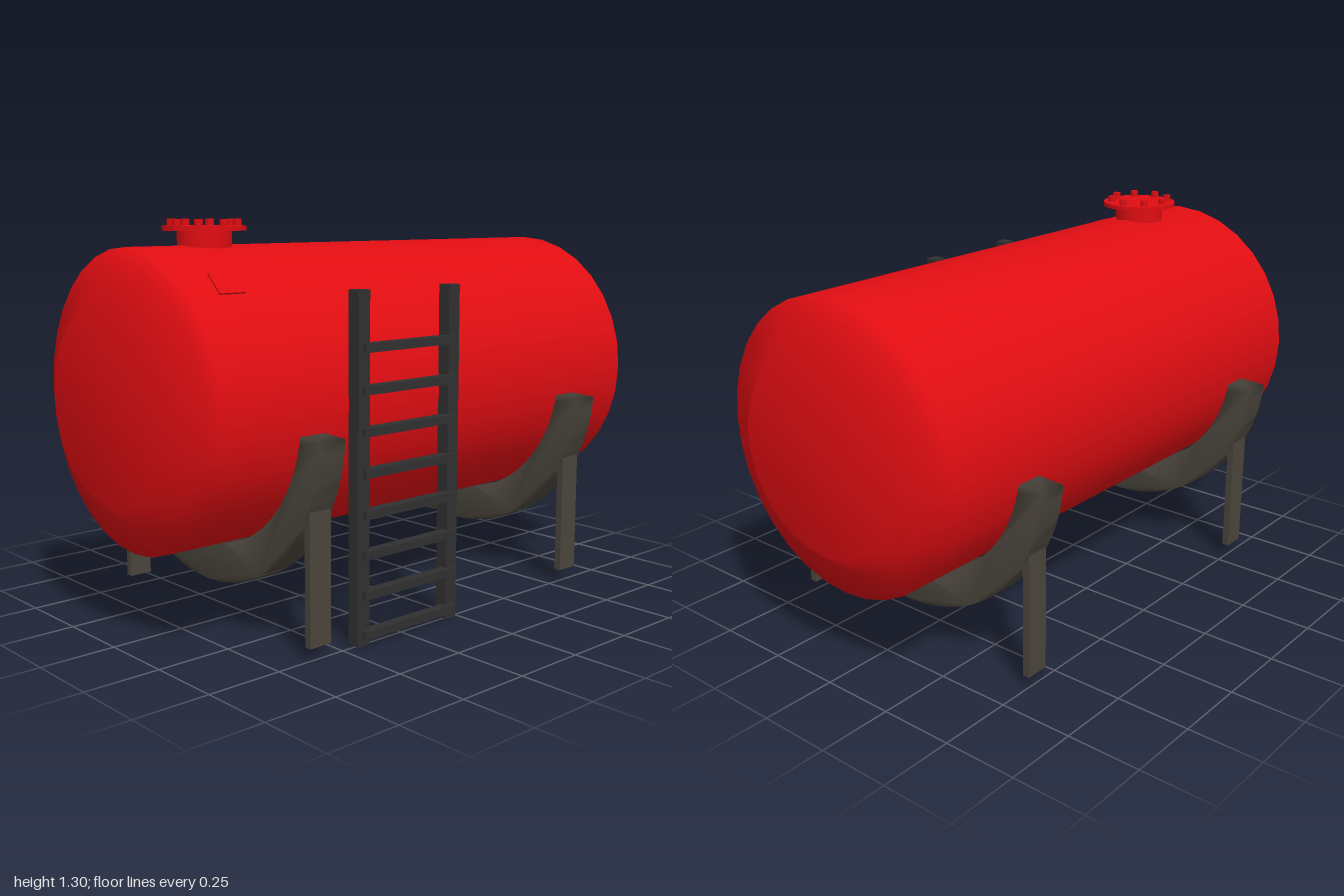
import * as THREE from 'three';
import { mergeVertices } from 'three/addons/utils/BufferGeometryUtils.js';

const RED = new THREE.MeshStandardMaterial({ color: 0xe00d12 });
const FRAME = new THREE.MeshStandardMaterial({ color: 0x4a453c });
const DARK = new THREE.MeshStandardMaterial({ color: 0x303030 });

const TANK_Y = 0.752;
const SADDLE_Z = 0.593;

function add(parent, name, geometry, material, x = 0, y = 0, z = 0) {
  const mesh = new THREE.Mesh(geometry, material);
  mesh.name = name;
  mesh.position.set(x, y, z);
  parent.add(mesh);
  return mesh;
}

// Crescent cradle: outer arc around y = 0.711, inner arc concentric with the tank
function saddleGeometry(depth) {
  const outerY = 0.711, outerR = 0.566, innerR = 0.478;
  const a = Math.asin((0.675 - outerY) / outerR);
  const b = Math.asin((0.68 - TANK_Y) / innerR);
  const shape = new THREE.Shape();
  shape.absarc(0, outerY, outerR, Math.PI - a, Math.PI * 2 + a, false);
  shape.absarc(0, TANK_Y, innerR, Math.PI * 2 + b, Math.PI - b, true);
  shape.closePath();
  let g = new THREE.ExtrudeGeometry(shape, { depth, bevelEnabled: false, curveSegments: 24 });
  g.translate(0, 0, -depth / 2);
  // weld for softly blended normals
  g.deleteAttribute('uv');
  g.deleteAttribute('normal');
  g = mergeVertices(g, 1e-4);
  g.computeVertexNormals();
  return g;
}

export function createModel() {
  const model = new THREE.Group();
  model.name = 'storageTank';

  // Tank shell with stepped, chamfered end caps
  const profile = [
    [0, -1], [0.31, -1], [0.39, -0.915], [0.472, -0.915],
    [0.472, 0.915], [0.39, 0.915], [0.31, 1], [0, 1],
  ].map(([r, z]) => new THREE.Vector2(r, z));
  const shell = new THREE.LatheGeometry(profile, 32);
  shell.rotateX(Math.PI / 2);
  add(model, 'tankShell', shell, RED, 0, TANK_Y, 0);

  // Manhole: neck, flange and a ring of bolts
  const manhole = new THREE.Group();
  manhole.name = 'manhole';
  manhole.position.set(0, 0, 0.63);
  model.add(manhole);
  add(manhole, 'manholeNeck', new THREE.CylinderGeometry(0.086, 0.086, 0.09, 24), RED, 0, 1.225, 0);
  add(manhole, 'manholeFlange', new THREE.CylinderGeometry(0.132, 0.132, 0.015, 32), RED, 0, 1.2765, 0);
  const bolt = new THREE.CylinderGeometry(0.014, 0.014, 0.026, 8);
  for (let i = 0; i < 8; i++) {
    const t = (i / 8) * Math.PI * 2;
    add(manhole, 'manholeBolt', bolt, RED, 0.104 * Math.cos(t), 1.292, 0.104 * Math.sin(t));
  }

  // Small plate on the upper left of the shell
  const plate = add(model, 'dataPlate', new THREE.BoxGeometry(0.08, 0.006, 0.092), RED, 0.309, 1.125, 0.775);
  plate.rotation.z = -Math.PI / 4;

  // Saddles with a leg on each side
  const saddle = saddleGeometry(0.095);
  const leg = new THREE.BoxGeometry(0.024, 0.46, 0.082);
  for (const s of [1, -1]) {
    const support = new THREE.Group();
    support.name = s > 0 ? 'frontSupport' : 'rearSupport';
    support.position.z = s * SADDLE_Z;
    model.add(support);
    add(support, 'saddle', saddle, FRAME);
    for (const side of [1, -1]) {
      add(support, side > 0 ? 'leftLeg' : 'rightLeg', leg, FRAME, side * 0.494, 0.27, 0);
    }
  }

  // Ladder on the left side
  const ladder = new THREE.Group();
  ladder.name = 'ladder';
  ladder.position.z = 0.228;
  model.add(ladder);
  const rail = new THREE.BoxGeometry(0.044, 1.1, 0.048);
  for (const s of [1, -1]) add(ladder, 'ladderRail', rail, DARK, 0.49, 0.55, s * 0.195);
  const rung = new THREE.BoxGeometry(0.036, 0.027, 0.4);
  for (let i = 0; i < 8; i++) {
    add(ladder, 'ladderRung', rung, DARK, 0.508, 0.034 + i * 0.1275, 0);
  }

  return model;
}
